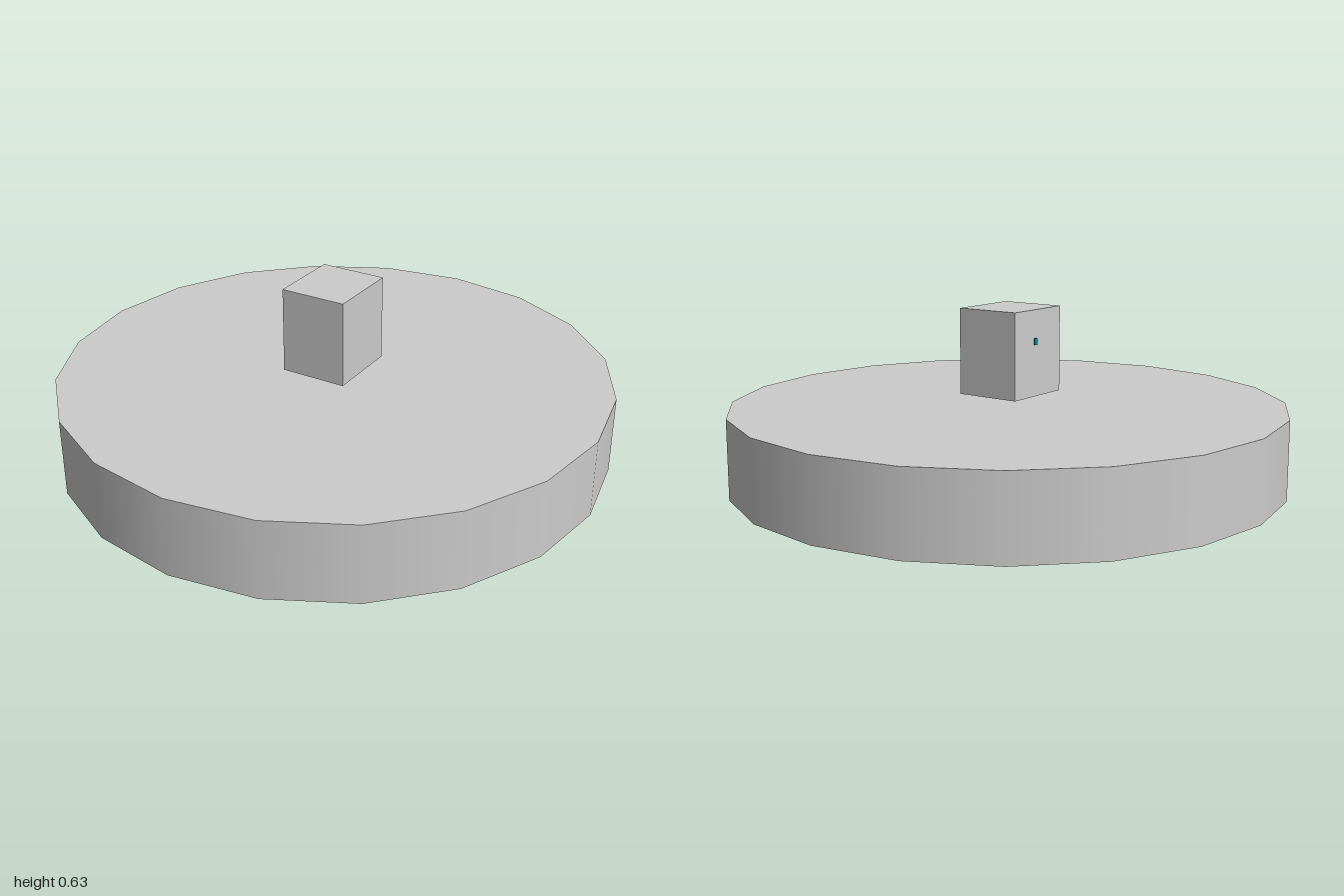
import * as THREE from 'three';

export function createModel() {
  const group = new THREE.Group();
  const grey = new THREE.MeshStandardMaterial({ color: 0xcccccc });
  const teal = new THREE.MeshStandardMaterial({ color: 0x0a8a96 });

  function add(name, geometry, material, x, y, z) {
    const mesh = new THREE.Mesh(geometry, material);
    mesh.name = name;
    mesh.position.set(x, y, z);
    group.add(mesh);
  }

  // Twenty-sided round base with smooth side shading
  add('base', new THREE.CylinderGeometry(1, 1, 0.283, 20), grey, 0, 0.1415, 0);

  // Block floating just above the base, slightly off centre
  add('block', new THREE.BoxGeometry(0.243, 0.31, 0.273), grey, 0.004, 0.473, 0.018);

  // Tiny coloured markers: one on the block's -x face, one under it
  add('sideMarker', new THREE.BoxGeometry(0.008, 0.024, 0.014), teal, -0.119, 0.515, 0);
  add('bottomMarker', new THREE.BoxGeometry(0.01, 0.016, 0.02), teal, 0, 0.312, 0);

  return group;
}
